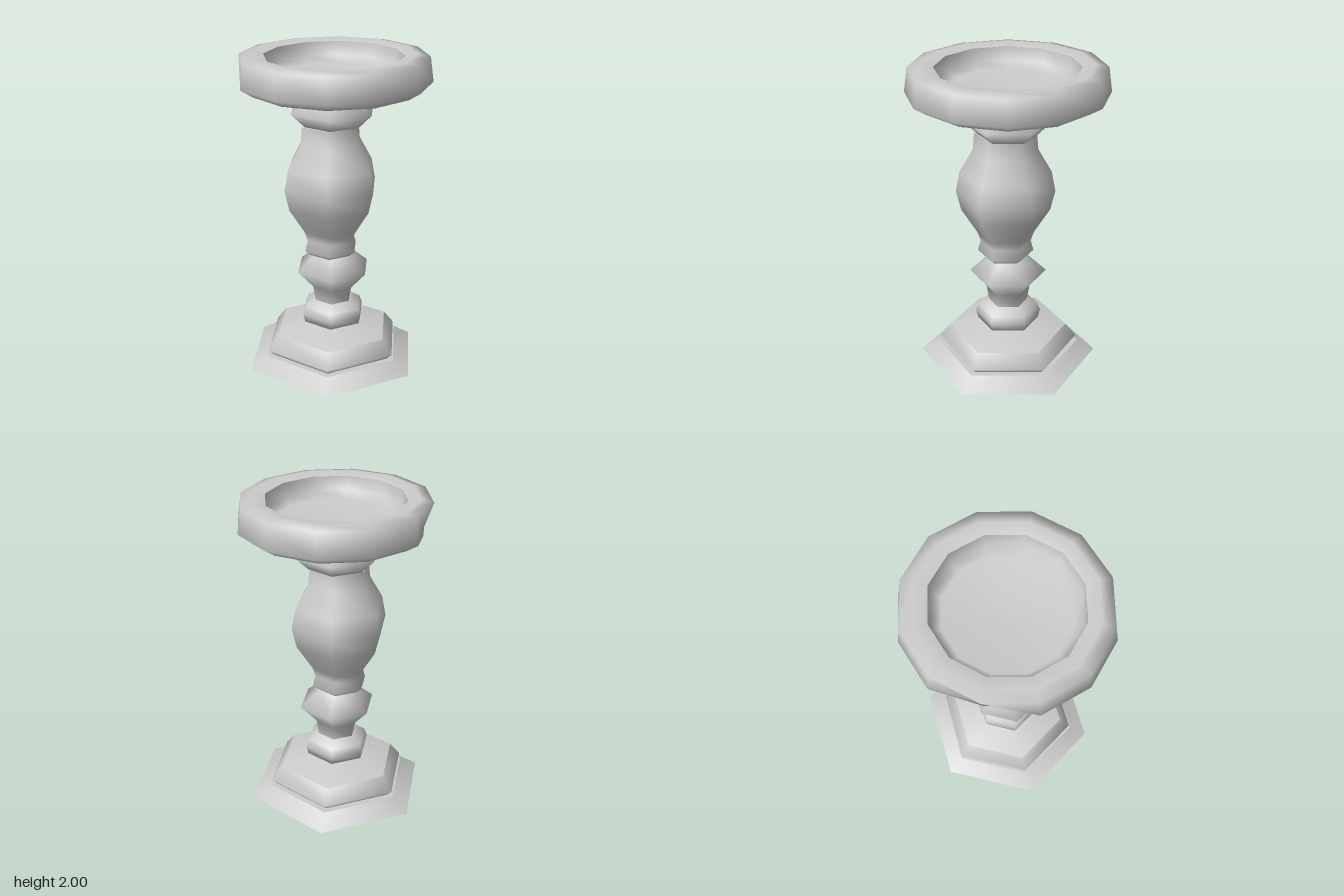
import * as THREE from 'three';

const material = new THREE.MeshStandardMaterial({ color: 0xcccccc });

// Turned part with few sides; profile is [radius, height] from bottom to top.
function turned(name, sides, profile, x = 0, z = 0) {
  const points = profile.map(([r, y]) => new THREE.Vector2(r, y));
  const mesh = new THREE.Mesh(new THREE.LatheGeometry(points, sides), material);
  mesh.name = name;
  mesh.position.set(x, 0, z);
  return mesh;
}

export function createModel() {
  const group = new THREE.Group();
  group.name = 'candleHolder';

  // Stepped hexagonal foot
  group.add(turned('footUnderside', 6, [[0, 0], [0.58, 0]], -0.01));
  group.add(turned('footPlinth', 6, [[0.58, 0], [0.52, 0.035], [0.465, 0.073]], -0.01));
  group.add(turned('footLedge', 6, [[0.465, 0.073], [0.42, 0.073]], -0.01));
  group.add(turned('footTier', 6, [[0.42, 0.073], [0.455, 0.11], [0.385, 0.2]], -0.01));
  group.add(turned('footShoulder', 6, [[0.385, 0.2], [0.24, 0.238], [0.15, 0.25], [0.15, 0.262]], -0.01));

  // Lower stem: ring, neck and knop
  group.add(turned('stemRing', 6, [
    [0.14, 0.26], [0.2, 0.262], [0.212, 0.315], [0.195, 0.365], [0.13, 0.405],
  ], -0.008));
  group.add(turned('neckAndKnop', 6, [
    [0.125, 0.4], [0.14, 0.5], [0.245, 0.62], [0.12, 0.725],
  ], -0.008));

  // Bulbous vase of the stem
  group.add(turned('vaseUnderside', 6, [[0.1, 0.725], [0.14, 0.728]], -0.018, 0.013));
  group.add(turned('vase', 6, [
    [0.14, 0.728], [0.178, 0.76], [0.16, 0.83], [0.18, 0.89], [0.28, 1.05],
    [0.31, 1.18], [0.285, 1.31], [0.2, 1.46], [0.19, 1.57],
  ], -0.02, 0.015));

  // Capital below the dish
  group.add(turned('capital', 6, [
    [0.185, 1.565], [0.277, 1.655], [0.16, 1.725], [0.09, 1.755],
  ], -0.008));

  // Twelve-sided dish with a sunken floor
  const dish = new THREE.Group();
  dish.name = 'dish';
  const underside = turned('dishUnderside', 12, [[0, 1.75], [0.17, 1.75], [0.535, 1.787]]);
  const wall = turned('dishWall', 12, [
    [0.535, 1.787], [0.612, 1.835], [0.59, 1.985], [0.515, 2], [0.437, 1.985],
  ]);
  const well = turned('dishWell', 12, [[0.437, 1.985], [0.425, 1.9], [0.37, 1.86], [0, 1.85]]);
  // One corner of the lower wall is pushed inwards
  wall.geometry.attributes.position.setX(9 * 5 + 1, -0.535);
  dish.add(underside, wall, well);
  dish.scale.x = 0.965;
  group.add(dish);

  return group;
}
